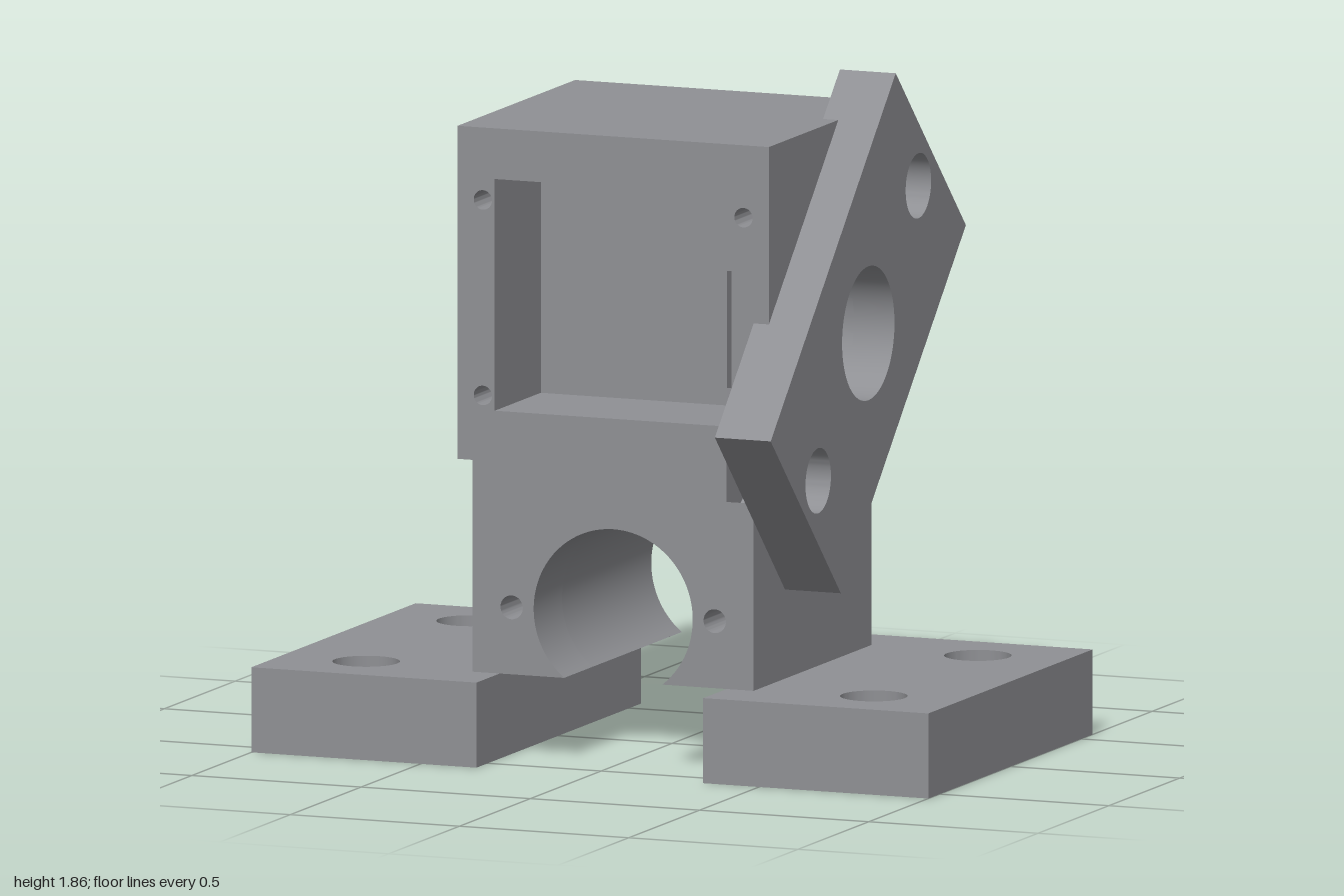
import * as THREE from 'three';
import { toCreasedNormals } from 'three/addons/utils/BufferGeometryUtils.js';

const AXLE_Y = 1.17, BORE = 0.185, BOLT = 0.09, BOLT_OFF = 0.353;

export function createModel() {
  const group = new THREE.Group();
  const grey = new THREE.MeshStandardMaterial({ color: 0x8f9094 });
  grey.name = 'grey';

  function add(name, geo) {
    const mesh = new THREE.Mesh(toCreasedNormals(geo, 0.6), grey);
    mesh.name = name;
    group.add(mesh);
    return mesh;
  }
  const extrude = (shape, depth) =>
    new THREE.ExtrudeGeometry(shape, { depth, bevelEnabled: false, curveSegments: 32 });
  // Shape in (x, y), extruded from z0 to z1
  const alongZ = (name, shape, z0, z1) => add(name, extrude(shape, z1 - z0).translate(0, 0, z0));
  // Shape in (-z, y), extruded from x0 to x1
  const alongX = (name, shape, x0, x1) =>
    add(name, extrude(shape, x1 - x0).rotateY(Math.PI / 2).translate(x0, 0, 0));

  function hole(shape, x, y, r) {
    const p = new THREE.Path();
    p.absarc(x, y, r, 0, Math.PI * 2, true);
    shape.holes.push(p);
  }
  function rect(x0, y0, x1, y1) {
    return new THREE.Shape([[x0, y0], [x1, y0], [x1, y1], [x0, y1]].map(p => new THREE.Vector2(...p)));
  }

  // Side section of the housing; bolt bores bite into its front and rear edges
  function housingSection({ pocket = false, bore = false, bites = false }) {
    const s = new THREE.Shape();
    if (bites) {
      s.moveTo(-0.415, 0.882);
      s.absarc(-BOLT_OFF, AXLE_Y - BOLT_OFF, BOLT, 2.33, 0.033, true);
    } else s.moveTo(-0.415, 0.82);
    s.lineTo(0.415, 0.82);
    if (bites) s.absarc(BOLT_OFF, AXLE_Y + BOLT_OFF, BOLT, -0.811, 0.811, true);
    s.lineTo(0.415, 1.74);
    if (pocket) {
      s.lineTo(-0.415, 1.74);
      s.lineTo(-0.415, 1.6);
      s.lineTo(-0.09, 1.6);
      if (bore) s.absarc(0, AXLE_Y, BORE, 2.079, -2.079, true);
      s.lineTo(-0.09, 0.96);
      s.lineTo(-0.415, 0.96);
    } else {
      s.lineTo(-0.215, 1.74);
      s.lineTo(-0.215, 0.92);
      s.lineTo(-0.415, 0.92);
      if (bore) hole(s, 0, AXLE_Y, BORE);
    }
    s.closePath();
    return s;
  }

  // Housing: open pocket at the front, bored from the arm side
  alongX('housingLeftless', housingSection({ pocket: true }), -0.35, 0.2).name = 'housingMiddle';
  alongX('housingBored', housingSection({ pocket: true, bore: true }), 0.2, 0.335);
  alongX('housingNotched', housingSection({ pocket: true, bore: true, bites: true }), 0.335, 0.35);
  alongX('housingArmSide', housingSection({ bore: true, bites: true }), 0.35, 0.46);
  alongX('housingPlainSide', housingSection({}), -0.46, -0.35);

  // Front cheeks with screw holes
  for (const side of [-1, 1]) {
    const cheek = rect(Math.min(side * 0.35, side * 0.46), 0.92, Math.max(side * 0.35, side * 0.46), 1.74);
    for (const y of [1.0, 1.54]) hole(cheek, side * 0.385, y, 0.027);
    alongZ('housingCheek', cheek, 0.215, 0.415);
  }

  // Lower body with a round tunnel and blind screw holes
  function archShape(screws) {
    const s = new THREE.Shape();
    s.moveTo(-0.415, 0.235);
    s.lineTo(-0.145, 0.235);
    s.absarc(0, 0.42, 0.235, Math.PI + 0.906, -0.906, true);
    s.lineTo(0.335, 0.235);
    s.lineTo(0.335, 0.82);
    s.lineTo(-0.415, 0.82);
    s.closePath();
    if (screws) for (const x of [-0.3, 0.3]) hole(s, x, 0.42, 0.033);
    return s;
  }
  alongZ('lowerBodyFront', archShape(true), 0.215, 0.415);
  alongZ('lowerBodyRear', archShape(false), -0.415, 0.215);

  // Lower body side, notched by the lower bolt bore
  const sideWall = new THREE.Shape();
  sideWall.moveTo(-0.415, 0.235);
  sideWall.lineTo(0.415, 0.235);
  sideWall.lineTo(0.415, 0.82);
  sideWall.absarc(-BOLT_OFF, AXLE_Y - BOLT_OFF, BOLT, 0.033, -2.33, true);
  sideWall.closePath();
  alongX('lowerBodySide', sideWall, 0.335, 0.415);

  // Tilted arm plate with a centre bore and two bolt holes
  const armShape = rect(-0.624, -0.35, 0.624, 0.35);
  hole(armShape, 0, 0, BORE);
  for (const s of [-1, 1]) hole(armShape, s * 0.5, 0, BOLT);
  const arm = add('armPlate', extrude(armShape, 0.165).rotateZ(Math.PI / 4).rotateY(Math.PI / 2));
  arm.position.set(0.415, AXLE_Y, 0);

  // Feet with two mounting holes each
  for (const side of [-1, 1]) {
    const foot = rect(-0.3325, -0.58, 0.3325, 0.58);
    for (const z of [-0.367, 0.367]) hole(foot, side * 0.0825, z, 0.092);
    const mesh = add('foot', extrude(foot, 0.235).rotateX(-Math.PI / 2));
    mesh.position.x = side * 0.6675;
  }
  return group;
}
